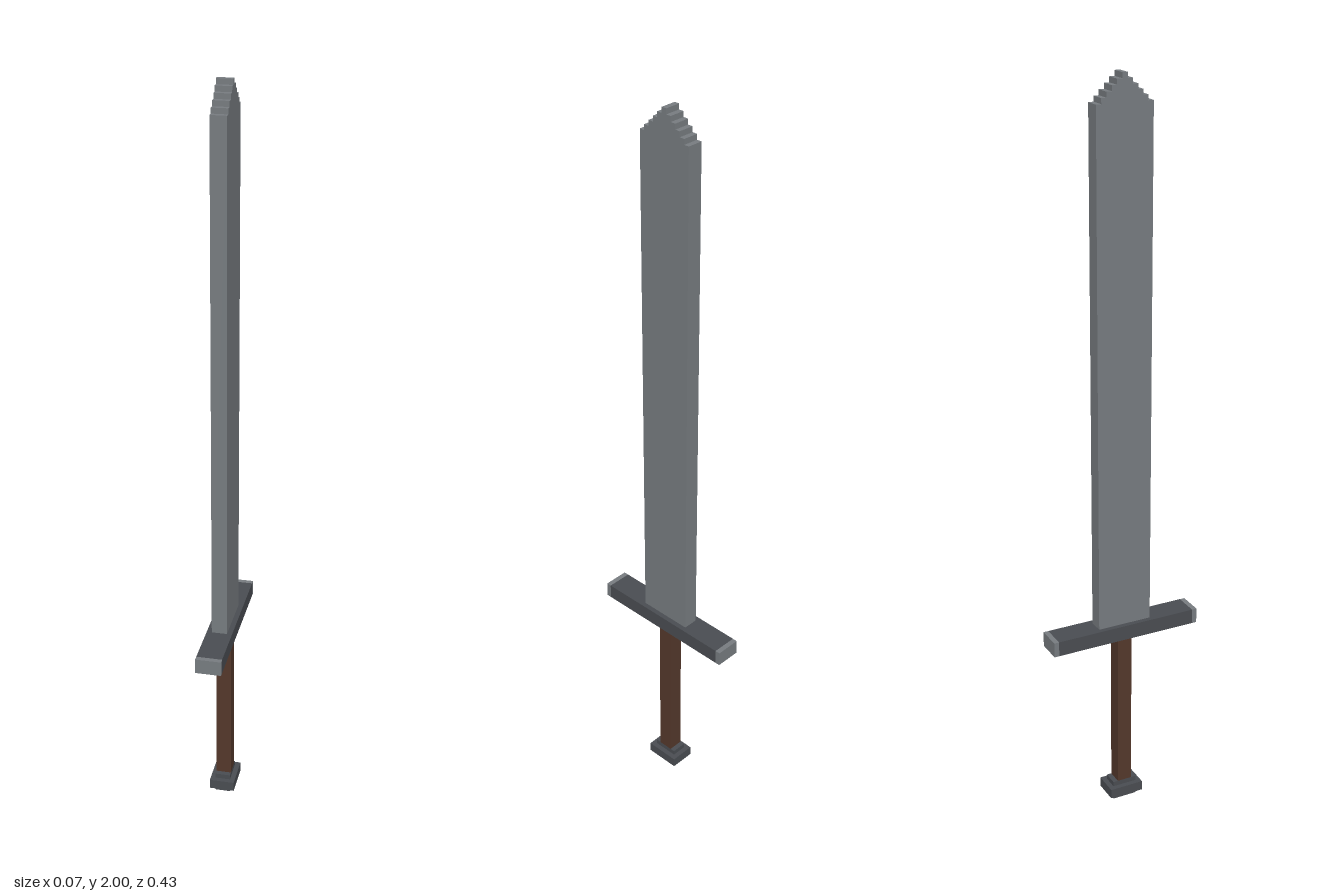
import * as THREE from 'three';

const U = 2 / 145; // one block of the grid the sword is built on

export function createModel() {
  const sword = new THREE.Group();
  sword.name = 'sword';

  const material = (name, color) => {
    const m = new THREE.MeshStandardMaterial({ color });
    m.name = name;
    return m;
  };
  const steel = material('steel', 0x777c80);
  const darkSteel = material('darkSteel', 0x4a4d52);
  const wood = material('wood', 0x54382b);

  // Box sized in blocks, standing on block row y0
  const block = (name, mat, w, y0, y1, d, z = 0) => {
    const mesh = new THREE.Mesh(new THREE.BoxGeometry(w * U, (y1 - y0) * U, d * U), mat);
    mesh.name = name;
    mesh.position.set(0, ((y0 + y1) / 2) * U, z * U);
    sword.add(mesh);
  };

  // Pommel: wide middle layer between two smaller ones
  block('pommelBase', darkSteel, 3, 0, 1, 5);
  block('pommelMiddle', darkSteel, 5, 1, 3, 7);
  block('pommelTop', darkSteel, 3, 3, 4, 5);

  // Grip
  block('grip', wood, 3, 4, 37, 3);

  // Crossguard with bright end caps
  block('crossguard', darkSteel, 5, 37, 40, 29);
  for (const side of [-1, 1]) block('crossguardCap', steel, 5, 37, 40, 1, side * 15);

  // Blade: one outline with a stepped point, extruded to its thickness
  const right = [[5.5, 40]];
  for (let i = 0; i <= 5; i++) {
    const half = 5.5 - i;
    if (i > 0) right.push([half, 139 + i]);
    right.push([half, 140 + i]);
  }
  const left = right.map(([x, y]) => [-x, y]).reverse();
  const outline = new THREE.Shape([...right, ...left].map(([x, y]) => new THREE.Vector2(x * U, y * U)));
  const bladeGeometry = new THREE.ExtrudeGeometry(outline, { depth: 3 * U, bevelEnabled: false });
  bladeGeometry.translate(0, 0, -1.5 * U).rotateY(Math.PI / 2);
  const blade = new THREE.Mesh(bladeGeometry, steel);
  blade.name = 'blade';
  sword.add(blade);

  return sword;
}
